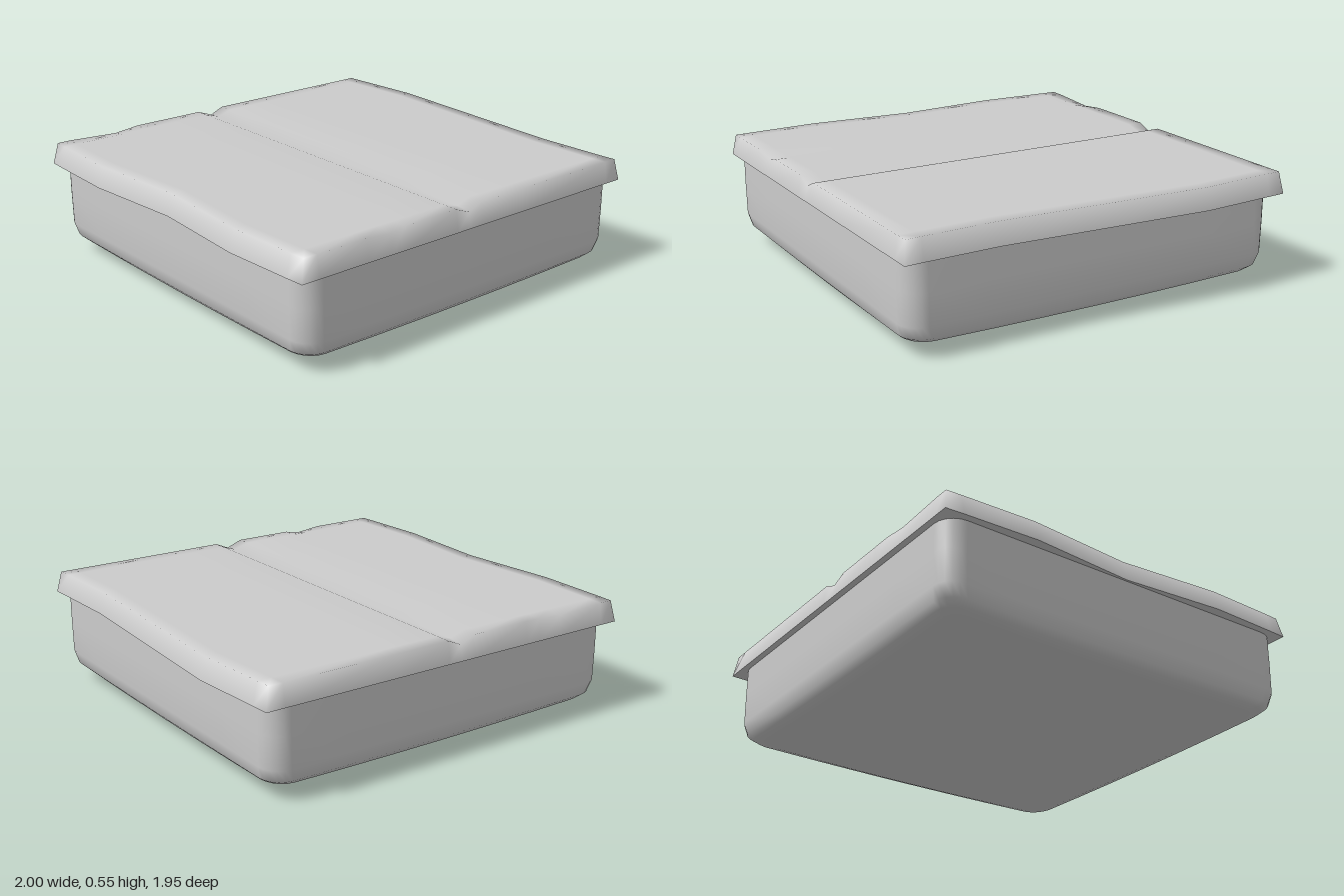
import * as THREE from 'three';
import { mergeVertices } from 'three/addons/utils/BufferGeometryUtils.js';

const material = () => new THREE.MeshStandardMaterial({ color: 0xcccccc });

// One rounded-square loop, clockwise from above, with extra points along the sides
function ring(half, radius, y, bow) {
  const pts = [], c = half - radius;
  for (let side = 0; side < 4; side++) {
    const turn = side * Math.PI / 2;
    const local = [];
    for (let i = 0; i <= 6; i++) local.push([half, -c + (2 * c * i) / 6]);
    for (let i = 1; i < 5; i++) {
      const a = (i / 5) * Math.PI / 2;
      local.push([c + radius * Math.cos(a), c + radius * Math.sin(a)]);
    }
    for (const [u, v] of local) {
      const x = u * Math.cos(turn) - v * Math.sin(turn);
      const z = u * Math.sin(turn) + v * Math.cos(turn);
      const sag = bow * (1 - Math.min(1, (v / half) ** 2));
      pts.push([x * 0.99 - 0.01, y - sag, z]);
    }
  }
  return pts;
}

// Tub: soft-cornered sides rolling into a shallow sagging bottom
function makeBody() {
  const rings = [
    ring(0.95, 0.1, 0.46, 0), ring(0.95, 0.1, 0.3, 0), ring(0.948, 0.1, 0.15, 0),
    ring(0.932, 0.1, 0.09, 0.005), ring(0.905, 0.1, 0.067, 0.01), ring(0.86, 0.1, 0.055, 0.014),
    ring(0.6, 0.08, 0.033, 0.008), ring(0.3, 0.04, 0.014, 0.003), ring(0.02, 0.005, 0.0, 0),
  ];
  const n = rings[0].length, index = [];
  for (let r = 0; r < rings.length - 1; r++)
    for (let i = 0; i < n; i++) {
      const j = (i + 1) % n, a = r * n + i, b = r * n + j;
      index.push(a, b, a + n, b, b + n, a + n);
    }
  const last = (rings.length - 1) * n;
  for (let i = 1; i < n - 1; i++) index.push(last, last + i, last + i + 1);
  const geo = new THREE.BufferGeometry();
  geo.setAttribute('position', new THREE.Float32BufferAttribute(rings.flat(2), 3));
  geo.setIndex(index);
  geo.computeVertexNormals();
  const mesh = new THREE.Mesh(geo, material());
  mesh.material.side = THREE.DoubleSide;
  mesh.name = 'body';
  return mesh;
}

// Lid: worn slab with wavy side edges, a centre groove and small end dents
function makeLid() {
  const xs = [-1, -0.91, -0.63, -0.5, -0.42, -0.12, -0.04, 0.03, 0.3, 0.91, 1];
  const zs = [-0.98, -0.89, -0.52, 0, 0.52, 0.88, 0.97];
  const leftEdge = [-0.98, -0.985, -1, -0.96, -1, -0.985, -0.98];
  const rightEdge = [0.97, 0.975, 1, 0.97, 0.94, 0.95, 0.955];
  const nx = xs.length - 1, nz = zs.length - 1;
  const geo = new THREE.BoxGeometry(2, 1, 2, nx, 1, nz);
  geo.deleteAttribute('uv');
  const p = geo.attributes.position, nor = geo.attributes.normal;
  for (let k = 0; k < p.count; k++) {
    const i = Math.round(((p.getX(k) + 1) / 2) * nx);
    const j = Math.round(((p.getZ(k) + 1) / 2) * nz);
    const top = p.getY(k) > 0;
    const inset = top ? 0.022 : 0;
    const isEnd = j === 0 || j === nz;
    let x = xs[i], z = zs[j], y = top ? 0.545 : 0.442;
    if (i === 0) x = leftEdge[j] + inset;
    else if (i === nx) x = rightEdge[j] - inset;
    else if (i === 1) x = leftEdge[j] + 0.09;
    else if (i === nx - 1) x = rightEdge[j] - 0.09;
    if (isEnd) z -= Math.sign(z) * inset * 0.7;
    if (top) {
      if (i === 6) y -= isEnd ? 0.03 : 0.022;
      if (i === 3 && j === nz) y -= 0.015;
      if (i === 2 && j === 0) y -= 0.014;
    }
    p.setXYZ(k, x, y, z);
    // equal normals let the top and sides weld smoothly; the underside stays crisp
    nor.setXYZ(k, 0, nor.getY(k) < -0.5 ? -1 : 1, 0);
  }
  const smooth = mergeVertices(geo);
  smooth.computeVertexNormals();
  const mesh = new THREE.Mesh(smooth, material());
  mesh.name = 'lid';
  return mesh;
}

export function createModel() {
  const group = new THREE.Group();
  group.name = 'liddedBox';
  group.add(makeBody(), makeLid());
  return group;
}
